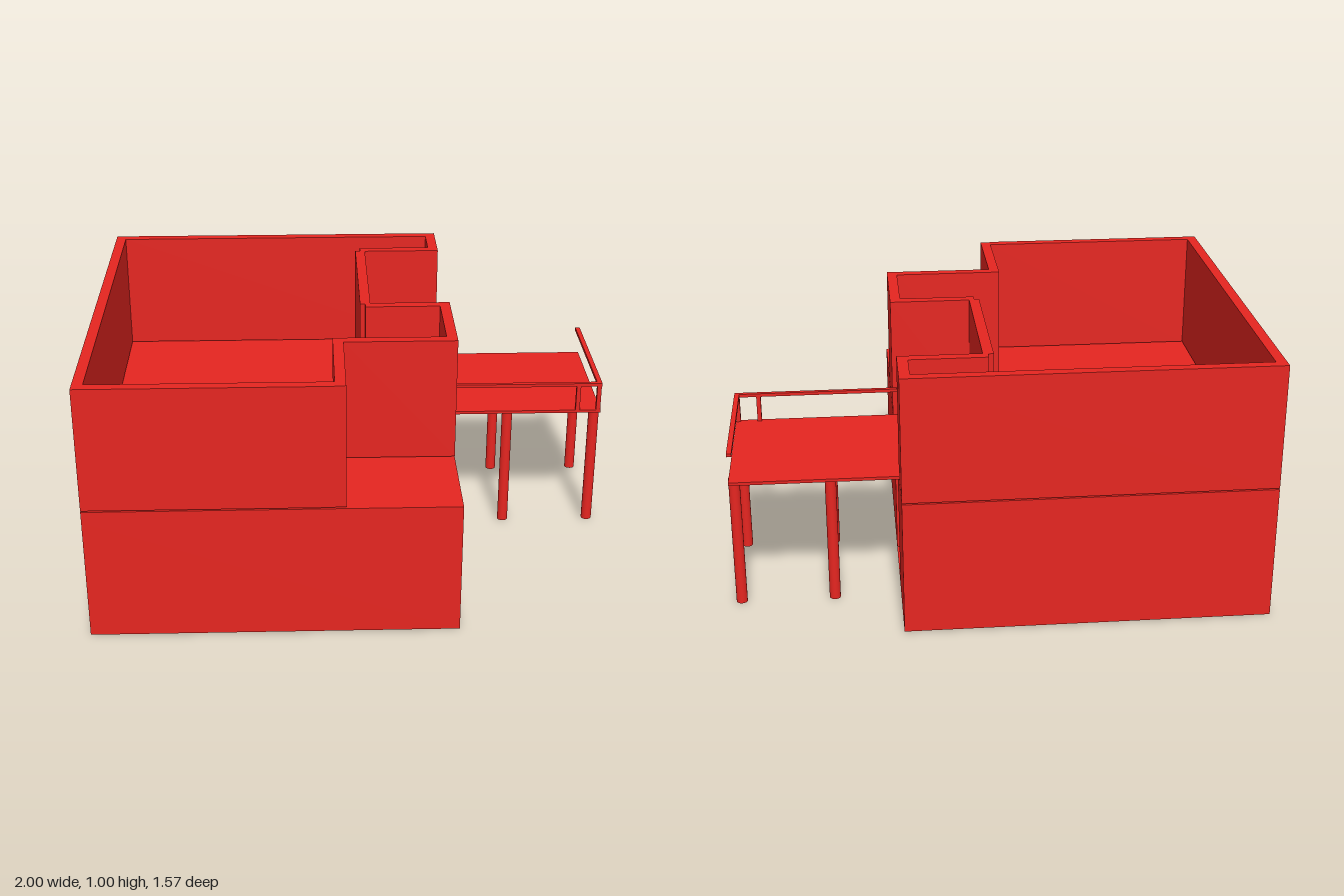
import * as THREE from 'three';

const red = new THREE.MeshStandardMaterial({ color: 0xe62520 });

export function createModel() {
  const model = new THREE.Group();

  const add = (name, geometry, x = 0, y = 0, z = 0) => {
    const mesh = new THREE.Mesh(geometry, red);
    mesh.name = name;
    mesh.position.set(x, y, z);
    model.add(mesh);
  };

  // box given by its two extreme corners
  const block = (name, [x0, y0, z0], [x1, y1, z1]) =>
    add(name, new THREE.BoxGeometry(x1 - x0, y1 - y0, z1 - z0),
      (x0 + x1) / 2, (y0 + y1) / 2, (z0 + z1) / 2);

  // floor plan of [x, z] points raised from y0 to y1
  const plan = (name, outline, y0, y1) => {
    const shape = new THREE.Shape(outline.map(([x, z]) => new THREE.Vector2(x, -z)));
    const geometry = new THREE.ExtrudeGeometry(shape, { depth: y1 - y0, bevelEnabled: false });
    geometry.rotateX(-Math.PI / 2);
    add(name, geometry, 0, y0, 0);
  };

  const L = -1, R = 0.372, D = 0.784, T = 0.04;
  const doorFront = -0.12, doorBack = -0.425;

  // lower storey: hollow, open below, with a doorway in the left wall
  plan('lowerWalls', [
    [R, doorFront], [R, D], [L, D], [L, -D], [R, -D], [R, doorBack],
    [R - T, doorBack], [R - T, -D + T], [L + T, -D + T], [L + T, D - T],
    [R - T, D - T], [R - T, doorFront],
  ], 0, 0.479);
  block('doorThreshold', [R - T, 0, doorBack], [R, 0.002, doorFront]);
  block('lowerRoof', [L, 0.479, -D], [R, 0.52, D]);

  // upper storey: open-topped walls around the balcony recess and corner terrace
  const bottom = 0.525, top = 1.003;
  plan('upperWalls', [
    [0.043, -0.565], [R, -0.565], [R, -D], [L, -D], [L, D], [-0.09, D],
    [-0.09, D - T], [L + T, D - T], [L + T, -D + T], [R - T, -D + T],
    [R - T, -0.605], [0.043, -0.605],
  ], bottom, top);
  plan('terraceWalls', [
    [0.043, 0.02], [R, 0.02], [R, 0.4], [-0.05, 0.4], [-0.05, D - 0.004], [-0.09, D - 0.004],
    [-0.09, 0.36], [R - T, 0.36], [R - T, 0.06], [0.043, 0.06],
  ], bottom, top);
  block('recessWall', [0.023, bottom, -0.572], [0.063, top, 0.03]);

  // balcony deck on four round legs
  block('balconyDeck', [0.355, 0.516, -0.562], [0.996, 0.528, 0.018]);
  for (const x of [0.625, 0.979])
    for (const z of [-0.04, -0.5])
      add('balconyLeg', new THREE.CylinderGeometry(0.021, 0.021, 0.516, 24), x, 0.258, z);

  // railing
  block('frontRail', [0.355, 0.632, 0.001], [0.996, 0.645, 0.018]);
  block('endRail', [0.977, 0.632, -0.562], [0.996, 0.645, 0.001]);
  for (const x of [0.894, 0.977])
    block('railPost', [x, 0.528, 0.001], [x + 0.017, 0.632, 0.018]);

  return model;
}
